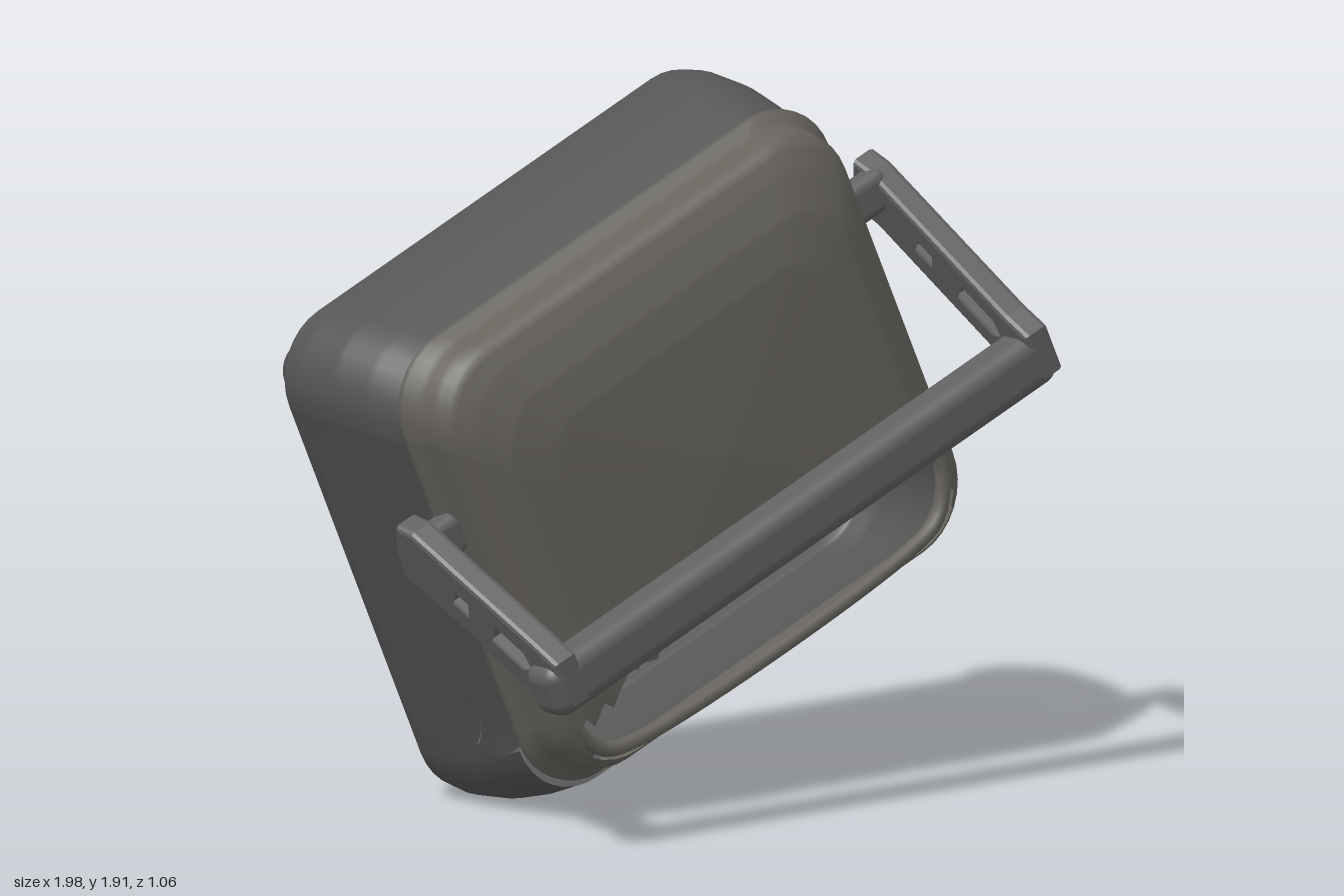
import * as THREE from 'three';
import { RoundedBoxGeometry } from 'three/addons/geometries/RoundedBoxGeometry.js';

const paint = (color) => new THREE.MeshStandardMaterial({ color, side: THREE.DoubleSide });

// Points of a rounded rectangle, counter-clockwise seen from +z
function ring(hu, hv, r, cv) {
  const pts = [], arc = 8, side = 80;
  const corners = [[1, -1], [1, 1], [-1, 1], [-1, -1]];
  corners.forEach(([sx, sy], k) => {
    for (let i = 0; i <= arc; i++) {
      const a = (k - 1 + i / arc) * Math.PI / 2;
      pts.push([sx * (hu - r) + r * Math.cos(a), cv + sy * (hv - r) + r * Math.sin(a)]);
    }
    const [nx, ny] = corners[(k + 1) % 4], a = k * Math.PI / 2;
    const start = pts[pts.length - 1];
    const end = [nx * (hu - r) + r * Math.cos(a), cv + ny * (hv - r) + r * Math.sin(a)];
    for (let i = 1; i < side; i++) {
      const t = i / side;
      pts.push([start[0] + (end[0] - start[0]) * t, start[1] + (end[1] - start[1]) * t]);
    }
  });
  return pts;
}

// Shell through rounded-rectangle sections [halfU, halfV, radius, z, steps]; keep() cuts openings
function shell(sections, cv, keep) {
  const pos = [], index = [];
  let rows = 0, n = 0;
  const addRow = (s) => {
    const pts = ring(s[0], s[1], s[2], cv);
    n = pts.length;
    pts.forEach(([u, v]) => pos.push(u, v, s[3]));
    rows++;
  };
  addRow(sections[0]);
  for (let k = 1; k < sections.length; k++) {
    const a = sections[k - 1], b = sections[k], steps = b[4];
    for (let i = 1; i <= steps; i++) {
      addRow(a.slice(0, 4).map((x, c) => x + (b[c] - x) * i / steps));
    }
  }
  for (let i = 0; i < rows - 1; i++) {
    for (let j = 0; j < n; j++) {
      const a = i * n + j, b = i * n + (j + 1) % n, c = a + n, d = b + n;
      const mid = [0, 1, 2].map((k) => (pos[a * 3 + k] + pos[d * 3 + k]) / 2);
      if (keep(...mid)) index.push(a, b, d, a, d, c);
    }
  }
  const g = new THREE.BufferGeometry();
  g.setAttribute('position', new THREE.Float32BufferAttribute(pos, 3));
  g.setIndex(index);
  g.computeVertexNormals();
  return g;
}

// Pierced handle arm in the z/v plane; drop lowers its pivot end
function armGeometry(drop) {
  const path = (pts, Type) => new Type(pts.map(([z, v]) =>
    new THREE.Vector2(z, v - drop * Math.max(0, 1 - z / 0.45))));
  const shape = path([[-0.03, 0.33], [0.01, 0.4], [0.06, 0.375], [0.45, -0.01], [0.515, -0.06],
    [0.515, -0.18], [0.42, -0.2], [0.38, -0.14], [0.02, 0.22], [-0.03, 0.25]], THREE.Shape);
  shape.holes.push(
    path([[0.27, 0.03], [0.31, 0.07], [0.4, -0.02], [0.41, -0.07], [0.37, -0.07]], THREE.Path),
    path([[0.15, 0.16], [0.18, 0.19], [0.22, 0.15], [0.2, 0.11]], THREE.Path),
  );
  const g = new THREE.ExtrudeGeometry(shape, {
    depth: 0.05, bevelEnabled: true, bevelSize: 0.012, bevelThickness: 0.015, bevelSegments: 2,
  });
  return g.translate(0, 0, -0.025).rotateY(-Math.PI / 2);
}

export function createModel() {
  const model = new THREE.Group();
  model.name = 'contactGrill';
  const body = new THREE.Group();
  body.name = 'tiltedBody';
  body.position.y = 0.95;
  body.rotation.z = THREE.MathUtils.degToRad(24);
  model.add(body);

  const dark = paint(0x555555), warm = paint(0x66635d), grey = paint(0x606060);
  const add = (name, geometry, material, parent = body) => {
    const m = new THREE.Mesh(geometry, material);
    m.name = name;
    parent.add(m);
    return m;
  };

  // Hollow lower housing: back plate, top and bottom walls, ragged openings in both sides
  add('baseHousing', shell([
    [0.0004, 0.0004, 0.0001, -0.46],
    [0.785, 0.715, 0.18, -0.46, 6],
    [0.81, 0.74, 0.19, -0.435, 3],
    [0.82, 0.75, 0.20, -0.36, 8],
    [0.815, 0.74, 0.20, -0.22, 12],
    [0.80, 0.715, 0.20, -0.10, 10],
    [0.78, 0.685, 0.20, 0, 8],
  ], 0, (u, v, z) => {
    const rag = 0.025 * Math.sin(z * 31 + u * 4);
    return !(Math.abs(u) > 0.7 && Math.abs(v) < 0.49 + rag && z > -0.4 + 0.012 * Math.sin(v * 23));
  }), dark);

  // Thin strip hanging across the right-hand opening
  const stripProfile = [[0, -0.41], [0.012, -0.38], [0.014, -0.25], [0.008, -0.1], [0.02, 0.1],
    [0.045, 0.2], [0.03, 0.3], [0.05, 0.5]].map(([r, v]) => new THREE.Vector2(r, v));
  const strip = add('hangingStrip', new THREE.LatheGeometry(stripProfile, 10), dark);
  strip.scale.x = 0.4;
  strip.position.set(0.79, 0, -0.12);

  // Domed lid with a ragged opening along the lower part of its face
  add('lid', shell([
    [0.77, 0.67, 0.2, 0.008],
    [0.785, 0.685, 0.2, 0.02, 1],
    [0.785, 0.685, 0.2, 0.04, 1],
    [0.76, 0.66, 0.2, 0.055, 1],
    [0.75, 0.65, 0.2, 0.135, 3],
    [0.73, 0.63, 0.2, 0.165, 3],
    [0.69, 0.575, 0.19, 0.195, 5],
    [0.62, 0.48, 0.17, 0.23, 8],
    [0.50, 0.37, 0.13, 0.25, 12],
    [0.0004, 0.0004, 0.0001, 0.268, 36],
  ], 0.03, (u, v, z) => {
    const edge = -0.26 - 0.2 * (u - 0.25) ** 2 + 0.015 * Math.sin(u * 22) + 0.008 * Math.sin(u * 47);
    return !(z > 0.165 && Math.abs(u) < 0.68 && v < edge);
  }), warm);

  // Rolled lip along the lower edge of the lid opening
  const lip = new THREE.CatmullRomCurve3([
    [-0.69, -0.34], [-0.685, -0.44], [-0.62, -0.545], [-0.5, -0.58],
    [0.5, -0.58], [0.62, -0.545], [0.685, -0.44], [0.69, -0.34],
  ].map(([u, v]) => new THREE.Vector3(u, v, 0.155)));
  add('lidLip', new THREE.TubeGeometry(lip, 60, 0.022, 8), warm);

  // Domed feet on the back plate
  const footProfile = new THREE.SplineCurve([[0.1, 0], [0.088, 0.025], [0.068, 0.052], [0.035, 0.071],
    [0, 0.076]].map(([r, h]) => new THREE.Vector2(r, h))).getPoints(12);
  const footGeometry = new THREE.LatheGeometry(footProfile, 24).rotateX(-Math.PI / 2);
  for (const su of [-1, 1]) for (const sv of [-1, 1]) {
    add('foot', footGeometry, dark).position.set(su * 0.68, 0.01 + sv * 0.575, -0.458);
  }

  // Handle: cross bar, two pierced arms and pivot blocks
  const handle = new THREE.Group();
  handle.name = 'handle';
  body.add(handle);
  const bar = add('handleBar', new RoundedBoxGeometry(1.86, 0.155, 0.135, 4, 0.045), grey, handle);
  bar.position.set(0, -0.14, 0.46);
  for (const [u, drop] of [[-0.86, 0.12], [0.895, 0]]) {
    add('handleArm', armGeometry(drop), grey, handle).position.x = u;
    const pivot = add('handlePivot', new RoundedBoxGeometry(0.16, 0.12, 0.08, 3, 0.03), grey, handle);
    pivot.position.set(Math.sign(u) * 0.82, 0.33 - drop, 0.05);
  }
  return model;
}
